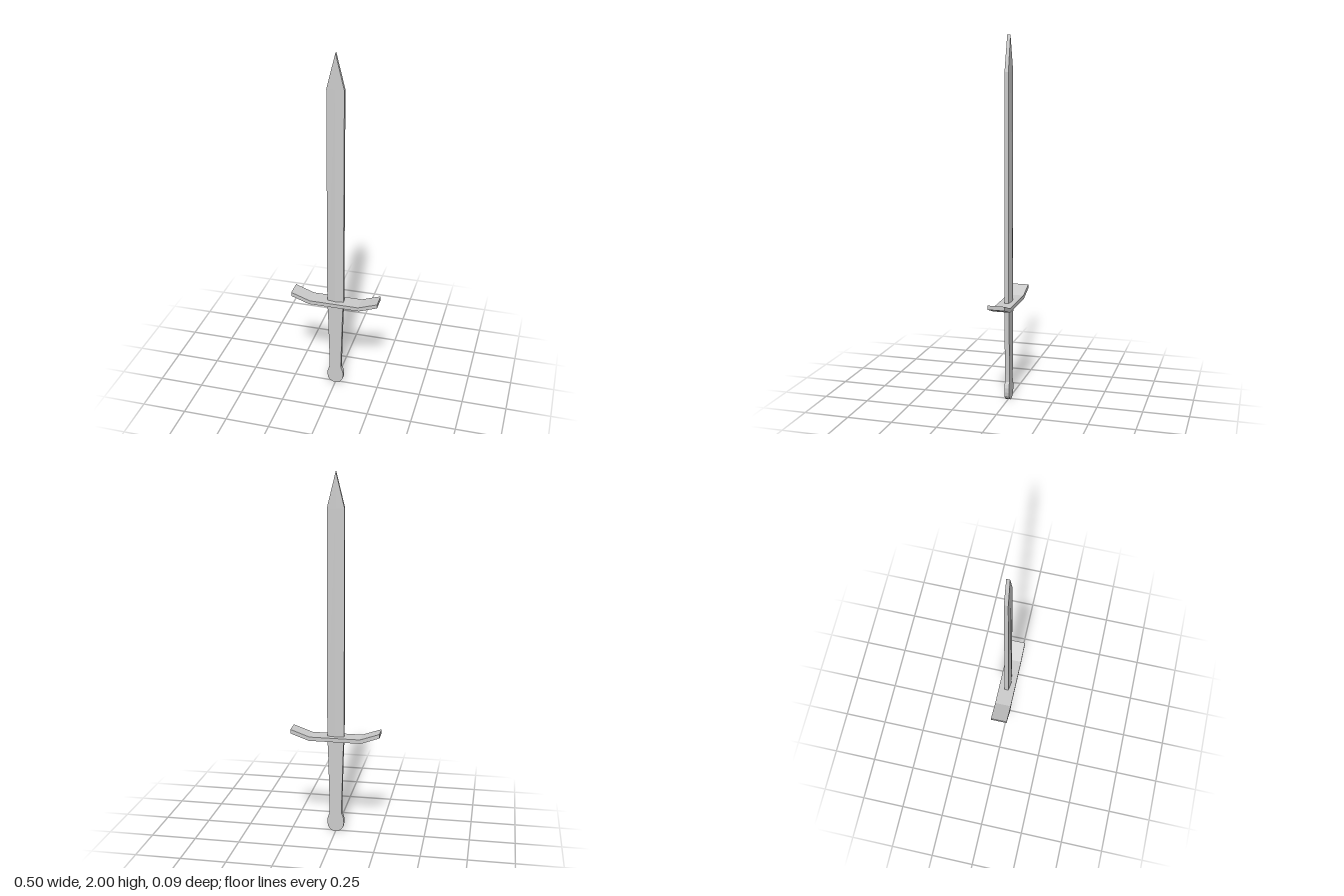
import * as THREE from 'three';

const material = new THREE.MeshStandardMaterial({ color: 0xcccccc, flatShading: true, side: THREE.DoubleSide });

function addMesh(group, name, geometry) {
  const mesh = new THREE.Mesh(geometry, material);
  mesh.name = name;
  group.add(mesh);
}

// Flat slab cut from a right-hand outline (bottom to top), mirrored in x
function mirroredSlab(half, depth) {
  const left = half.map(([x, y]) => [-x, y]).reverse();
  const outline = [...half, ...left].map(([x, y]) => new THREE.Vector2(x, y));
  const geometry = new THREE.ExtrudeGeometry(new THREE.Shape(outline), { depth, bevelEnabled: false });
  return geometry.translate(0, 0, -depth / 2);
}

// Six-sided blade: each section is [y, half width, edge half depth, ridge half depth]
function bladeGeometry(sections) {
  const positions = [];
  const index = [];
  for (const [y, w, e, r] of sections) {
    positions.push(w, y, e, w, y, -e, 0, y, -r, -w, y, -e, -w, y, e, 0, y, r);
  }
  for (let s = 0; s < sections.length - 1; s++) {
    for (let i = 0; i < 6; i++) {
      const a = s * 6 + i, b = s * 6 + (i + 1) % 6;
      index.push(a, b, b + 6, a, b + 6, a + 6);
    }
  }
  // bottom cap
  for (let i = 1; i < 5; i++) index.push(0, i + 1, i);
  const geometry = new THREE.BufferGeometry();
  geometry.setAttribute('position', new THREE.Float32BufferAttribute(positions, 3));
  geometry.setIndex(index);
  const flat = geometry.toNonIndexed();
  flat.computeVertexNormals();
  return flat;
}

export function createModel() {
  const group = new THREE.Group();
  group.name = 'sword';

  // Blade with a central ridge, thinning towards the pointed tip
  addMesh(group, 'blade', bladeGeometry([
    [0.55, 0.047, 0.011, 0.018],
    [1.81, 0.047, 0.0105, 0.0115],
    [2.0, 0, 0.009, 0.009],
  ]));

  // Crossguard with upturned ends
  addMesh(group, 'crossguard', new THREE.ExtrudeGeometry(new THREE.Shape([
    [-0.145, 0.54], [0.145, 0.54], [0.248, 0.577], [0.248, 0.6],
    [0.14, 0.562], [-0.14, 0.562], [-0.248, 0.6], [-0.248, 0.577],
  ].map(([x, y]) => new THREE.Vector2(x, y))), { depth: 0.092, bevelEnabled: false }).translate(0, 0, -0.046));

  // Tapered grip ending in a rounded pommel
  const half = [[0.012, 0]];
  for (const [x, y] of [[0.03, 0.01], [0.043, 0.028], [0.047, 0.05], [0.046, 0.075], [0.041, 0.092],
    [0.034, 0.108], [0.034, 0.15], [0.042, 0.46], [0.046, 0.55]]) half.push([x, y]);
  addMesh(group, 'gripAndPommel', mirroredSlab(half, 0.026));

  return group;
}
